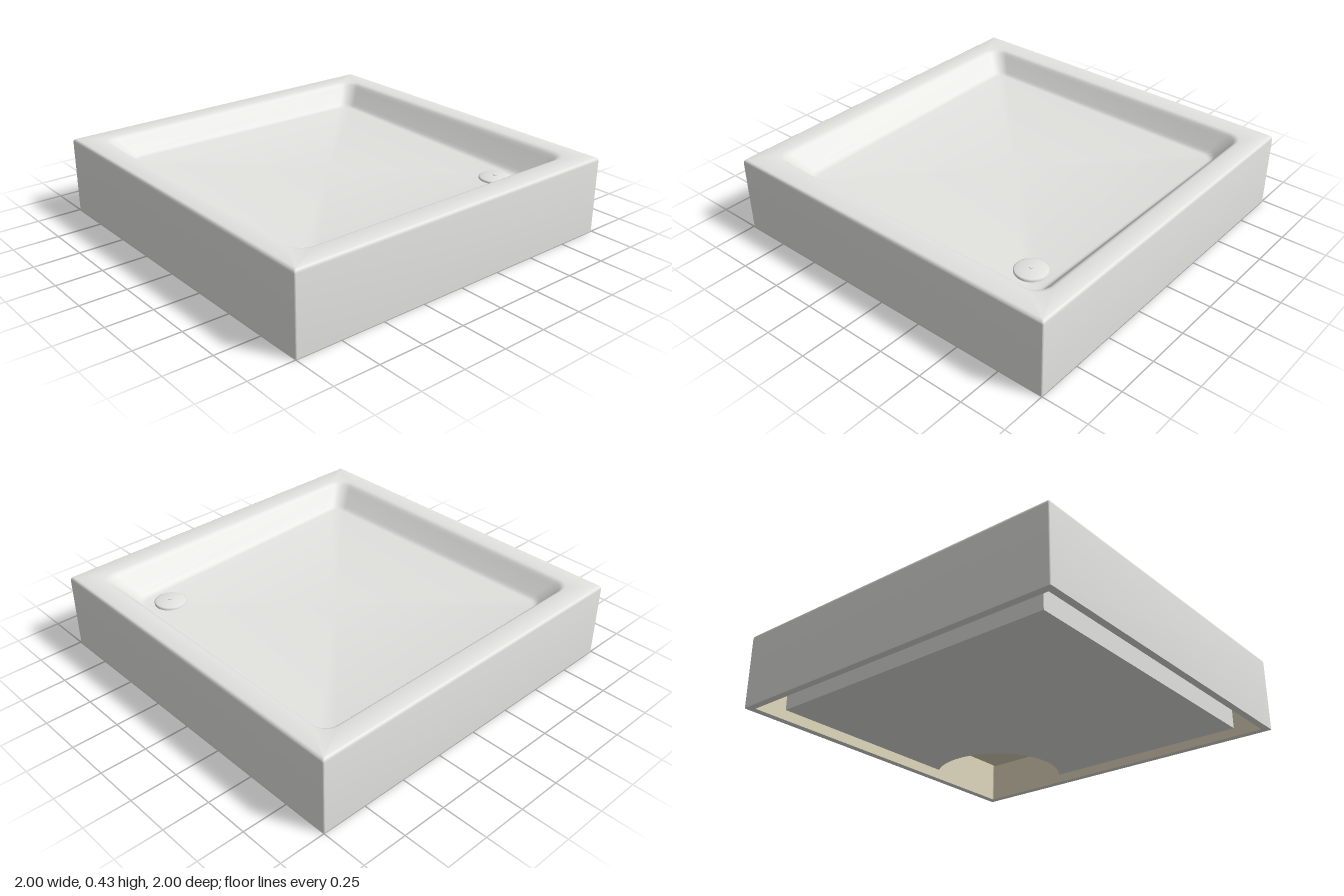
import * as THREE from 'three';
import { toCreasedNormals } from 'three/addons/utils/BufferGeometryUtils.js';

const SEG = 8; // segments per rounded corner

// Rounded quad ring; corners run counter-clockwise from above, starting at +x -z
function ring(corners, r) {
  const signs = [[1, -1], [-1, -1], [-1, 1], [1, 1]];
  const pts = [];
  corners.forEach(([x, y, z], k) => {
    const cx = x - signs[k][0] * r, cz = z - signs[k][1] * r;
    for (let i = 0; i <= SEG; i++) {
      const a = (k + i / SEG) * Math.PI / 2;
      pts.push([cx + r * Math.cos(a), y, cz - r * Math.sin(a)]);
    }
  });
  return pts;
}

function square(h, y, r = 0.006) {
  return ring([[h, y, -h], [-h, y, -h], [-h, y, h], [h, y, h]], r);
}

// Skin successive rings, optionally closing the last one with a fan
function loft(rings, cap = false) {
  const n = rings[0].length, pos = rings.flat(2), idx = [];
  for (let j = 0; j < rings.length - 1; j++) {
    for (let i = 0; i < n; i++) {
      const a = j * n + i, b = j * n + (i + 1) % n;
      idx.push(a, b, b + n, a, b + n, a + n);
    }
  }
  if (cap) {
    const last = rings[rings.length - 1], c = rings.length * n, base = c - n;
    for (let k = 0; k < 3; k++) pos.push(last.reduce((s, p) => s + p[k], 0) / n);
    for (let i = 0; i < n; i++) idx.push(base + i, base + (i + 1) % n, c);
  }
  const g = new THREE.BufferGeometry();
  g.setAttribute('position', new THREE.Float32BufferAttribute(pos, 3));
  g.setIndex(idx);
  return toCreasedNormals(g, 0.65);
}

export function createModel() {
  const white = new THREE.MeshStandardMaterial({ color: 0xe3e3e0 });
  white.name = 'trayWhite';
  const beige = new THREE.MeshStandardMaterial({ color: 0xe0d8bc });
  beige.name = 'backingBeige';

  const model = new THREE.Group();
  model.name = 'showerTray';
  const add = (name, geometry, material, x = 0, y = 0, z = 0) => {
    const mesh = new THREE.Mesh(geometry, material);
    mesh.name = name;
    mesh.position.set(x, y, z);
    model.add(mesh);
    return mesh;
  };

  // Basin corners at the rim and at the floor, which falls towards the drain
  const H = 0.425;
  const rim = [[0.87, H, -0.88], [-0.875, H, -0.88], [-0.875, H, 0.88], [0.87, H, 0.88]];
  const foot = [[0.745, 0.28, -0.755], [-0.785, 0.298, -0.78], [-0.785, 0.312, 0.77], [0.775, 0.305, 0.755]];
  const basinRing = ([t, s, r]) => ring(rim.map((p, k) => [
    p[0] + (foot[k][0] - p[0]) * t,
    p[1] + (foot[k][1] - p[1]) * s,
    p[2] + (foot[k][2] - p[2]) * t,
  ]), r);

  // Outer skirt, softened top edge, rim, sloping basin walls and floor
  add('trayShell', loft([
    square(0.96, 0), square(1, 0),
    square(1, H - 0.02), square(0.9985, H - 0.011), square(0.994, H - 0.004), square(0.985, H),
    ...[
      [-0.12, 0, 0.09], [0.0, 0.03, 0.085], [0.1, 0.1, 0.08], [0.2, 0.22, 0.08],
      [0.8, 0.82, 0.07], [0.9, 0.92, 0.065], [1.0, 0.98, 0.06], [1.12, 1, 0.055],
    ].map(basinRing),
  ], true), white);

  // Inner lining of the skirt and the underside of the rim
  add('skirtLining', loft([square(0.85, 0.26), square(0.96, 0.38), square(0.96, 0)]), beige);

  // Supporting core with a round recess around the drain
  const dx = 0.62, dz = -0.63, R = 0.37, E = 0.85;
  const a0 = Math.atan2(-Math.sqrt(R * R - (E - dx) ** 2), E - dx);
  const a1 = Math.atan2(E + dz, -Math.sqrt(R * R - (E + dz) ** 2));
  const core = new THREE.Shape();
  core.moveTo(-E, -E);
  core.lineTo(E, -E);
  core.lineTo(E, -dz + R * Math.sin(a0));
  core.absarc(dx, -dz, R, a0, a1, true);
  core.lineTo(-E, E);
  core.closePath();
  const coreGeometry = new THREE.ExtrudeGeometry(core, { depth: 0.26, bevelEnabled: false, curveSegments: 40 });
  coreGeometry.rotateX(-Math.PI / 2);
  add('supportCore', toCreasedNormals(coreGeometry, 0.5), white);

  // Ceiling of the drain recess and the drain flange beneath it
  add('recessCeiling', new THREE.BoxGeometry(0.61, 0.085, 0.61), beige, 0.545, 0.2175, -0.545);
  add('drainFlange', new THREE.CylinderGeometry(0.11, 0.11, 0.008, 32), beige, dx, 0.172, dz);

  // Domed drain cover with a small central stud
  const dome = [[0.086, -0.01], [0.086, 0.004], [0.08, 0.008], [0.055, 0.013], [0.025, 0.016], [0, 0.017]];
  add('drainCover', new THREE.LatheGeometry(dome.map((p) => new THREE.Vector2(...p)), 40), white, dx, 0.286, dz);
  add('drainStud', new THREE.CylinderGeometry(0.011, 0.011, 0.006, 16), white, dx, 0.303, dz);

  return model;
}
